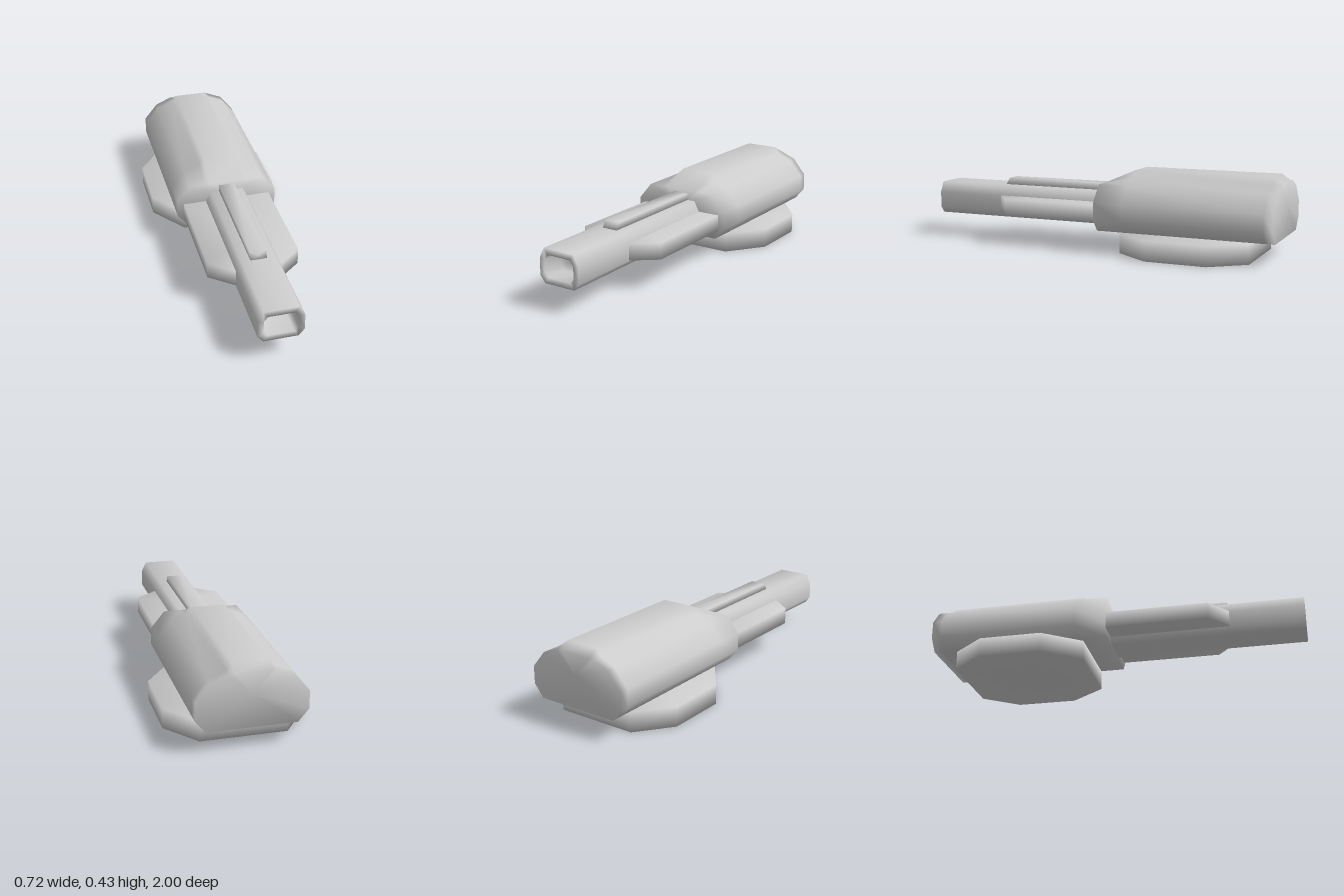
import * as THREE from 'three';

const material = new THREE.MeshStandardMaterial({ color: 0xcccccc });

// Mirrors a right-half outline (bottom to top) into a full counter-clockwise outline
const mirrored = (half) => [...half, ...half.map(([x, y]) => [-x, y]).reverse()];
const at = (outline, z) => outline.map(([x, y]) => [x, y, z]);

// Skins a row of equal-length rings along z with shared, smooth normals and closes both ends
function loft(rings) {
  const n = rings[0].length;
  const last = (rings.length - 1) * n;
  const centre = (ring) => [0, 1, 2].map((k) => ring.reduce((s, p) => s + p[k], 0) / n);
  const points = [...rings.flat(), centre(rings[0]), centre(rings[rings.length - 1])];
  const startCap = rings.length * n;
  const index = [];
  for (let j = 0; j < n; j++) {
    const k = (j + 1) % n;
    for (let r = 0; r < last; r += n) {
      index.push(r + j, r + k, r + n + k, r + j, r + n + k, r + n + j);
    }
    index.push(startCap, k, j, startCap + 1, last + j, last + k);
  }
  const geometry = new THREE.BufferGeometry();
  geometry.setAttribute('position', new THREE.Float32BufferAttribute(points.flat(), 3));
  geometry.setIndex(index);
  geometry.computeVertexNormals();
  return geometry;
}

// Upright slab from a plan outline of [x, -z] points
const slab = (plan, bottom, top) => loft([at(plan, bottom), at(plan, top)]).rotateX(-Math.PI / 2);

export function createModel() {
  const model = new THREE.Group();
  model.name = 'gunTurret';
  const add = (name, geometry) => {
    const mesh = new THREE.Mesh(geometry, material);
    mesh.name = name;
    model.add(mesh);
  };

  // Mounting base: wide slab with clipped corners
  const basePlan = mirrored([[0.215, 0.165], [0.36, 0.36], [0.36, 0.69], [0.22, 0.87]]);
  add('base', slab(basePlan, 0, 0.105));

  // Housing: faceted body whose raised roof slopes down at both ends
  const housing = (shoulder, roof) => mirrored([
    [0.223, 0.112], [0.276, 0.175], [0.276, 0.268], [0.202, 0.357], [0.117, shoulder], [0.09, roof],
  ]);
  add('housing', loft([
    at(housing(0.393, 0.393), -1),
    at(housing(0.393, 0.427), -0.95),
    at(housing(0.393, 0.427), -0.2),
    at(housing(0.357, 0.357), -0.04),
  ]));

  // Barrel: eight-sided tube with a recessed muzzle
  const outer = mirrored([[0.088, 0.125], [0.117, 0.16], [0.117, 0.248], [0.089, 0.304]]);
  const inner = mirrored([[0.067, 0.157], [0.087, 0.179], [0.087, 0.246], [0.067, 0.272]]);
  add('barrel', loft([at(outer, -0.04), at(outer, 1), at(inner, 1), at(inner, 0.88)]));

  // Side guards: flat plate through the barrel with tapered front corners
  const guardPlan = mirrored([[0.115, -0.605], [0.24, -0.505], [0.24, 0.04]]);
  add('sideGuards', slab(guardPlan, 0.16, 0.249));

  // Top rib with a sloped nose
  const rib = mirrored([[0.043, 0.3], [0.043, 0.341]]);
  add('topRib', loft([
    at(rib, -0.04),
    rib.map(([x, y]) => [x, y, y > 0.32 ? 0.585 : 0.607]),
  ]));

  return model;
}
